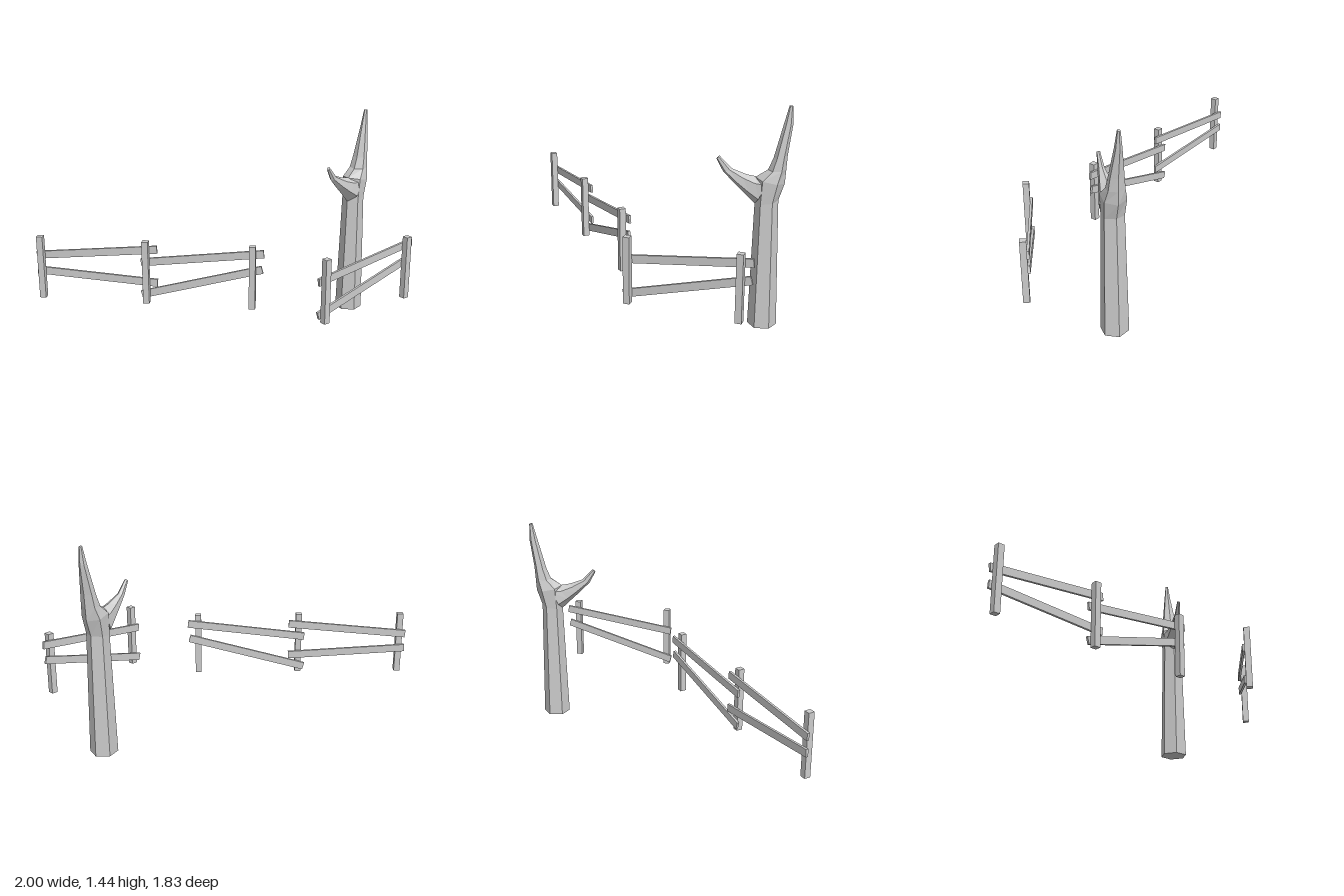
import * as THREE from 'three';

const material = new THREE.MeshStandardMaterial({ color: 0xcccccc, flatShading: true });

function box(name, w, h, d) {
  const mesh = new THREE.Mesh(new THREE.BoxGeometry(w, h, d), material);
  mesh.name = name;
  return mesh;
}

// Six-sided limb. Each section: [x, frontZ, frontY, backZ, backY, halfWidth]
function limb(name, sections) {
  const positions = [];
  const index = [];
  // hexagon corners: share of the way from front to back, side
  const corners = [[0, 0], [0.25, 1], [0.75, 1], [1, 0], [0.75, -1], [0.25, -1]];
  for (const [x, fz, fy, bz, by, w] of sections) {
    for (const [t, side] of corners) {
      positions.push(x + side * w, fy + (by - fy) * t, fz + (bz - fz) * t);
    }
  }
  for (let s = 0; s < sections.length - 1; s++) {
    for (let i = 0; i < 6; i++) {
      const a = s * 6 + i;
      const b = s * 6 + (i + 1) % 6;
      index.push(a, b, b + 6, a, b + 6, a + 6);
    }
  }
  // end caps
  const top = (sections.length - 1) * 6;
  for (let i = 1; i < 5; i++) {
    index.push(0, i + 1, i, top, top + i, top + i + 1);
  }
  const geometry = new THREE.BufferGeometry();
  geometry.setAttribute('position', new THREE.Float32BufferAttribute(positions, 3));
  geometry.setIndex(index);
  const flat = geometry.toNonIndexed();
  flat.computeVertexNormals();
  const mesh = new THREE.Mesh(flat, material);
  mesh.name = name;
  return mesh;
}

// Fence bay between two posts [x, z]; rails: [startY, endY, endOverhang]
function fenceBay(name, from, to, rails) {
  const dx = to[0] - from[0];
  const dz = to[1] - from[1];
  const length = Math.hypot(dx, dz);
  const bay = new THREE.Group();
  bay.name = name;
  bay.position.set(from[0], 0, from[1]);
  bay.rotation.y = Math.atan2(-dz, dx);
  for (const [y0, y1, over] of rails) {
    const u0 = -0.038;
    const u1 = length + over;
    const rail = box('rail', Math.hypot(u1 - u0, y1 - y0), 0.052, 0.016);
    rail.position.set((u0 + u1) / 2, (y0 + y1) / 2, -0.029);
    rail.rotation.z = Math.atan2(y1 - y0, u1 - u0);
    bay.add(rail);
  }
  return bay;
}

function fence(name, posts, bays) {
  const group = new THREE.Group();
  group.name = name;
  const angle = Math.atan2(posts[0][1] - posts[1][1], posts[1][0] - posts[0][0]);
  for (const [x, z] of posts) {
    const post = box('post', 0.042, 0.436, 0.042);
    post.position.set(x, 0.467, z);
    post.rotation.y = angle;
    group.add(post);
  }
  bays.forEach((rails, i) => group.add(fenceBay('fenceBay', posts[i], posts[i + 1], rails)));
  return group;
}

export function createModel() {
  const model = new THREE.Group();
  model.name = 'deadTreeAndFence';

  // Dead tree: trunk running into the tall rear branch, plus a short curved front branch
  const tree = new THREE.Group();
  tree.name = 'deadTree';
  tree.add(
    limb('trunkAndRearBranch', [
      [0.453, -0.68, 0, -0.865, 0, 0.08],
      [0.455, -0.7, 0.82, -0.845, 0.84, 0.064],
      [0.455, -0.7, 0.985, -0.88, 0.95, 0.07],
      [0.455, -0.775, 1.035, -0.885, 1.04, 0.053],
      [0.455, -0.805, 1.11, -0.89, 1.13, 0.044],
      [0.453, -0.86, 1.33, -0.914, 1.32, 0.02],
      [0.453, -0.887, 1.437, -0.91, 1.433, 0.009],
    ]),
    limb('frontBranch', [
      [0.455, -0.7, 0.815, -0.79, 1.0, 0.068],
      [0.453, -0.64, 0.873, -0.72, 0.985, 0.052],
      [0.449, -0.575, 0.934, -0.645, 0.998, 0.036],
      [0.443, -0.5, 1.01, -0.555, 1.03, 0.018],
      [0.44, -0.457, 1.09, -0.477, 1.108, 0.01],
    ]),
  );
  model.add(tree);

  // Fences with crooked rails
  const steepBay = [[0.525, 0.625, 0.072], [0.295, 0.515, 0.062]];
  const levelBay = [[0.54, 0.62, 0.072], [0.433, 0.383, 0.072]];
  model.add(
    fence('longFence', [[-0.952, 0.888], [-0.332, 0.524], [0.281, 0.16]], [levelBay, steepBay]),
    fence('shortFence', [[0.783, 0.05], [0.971, -0.637]], [steepBay]),
  );
  return model;
}
